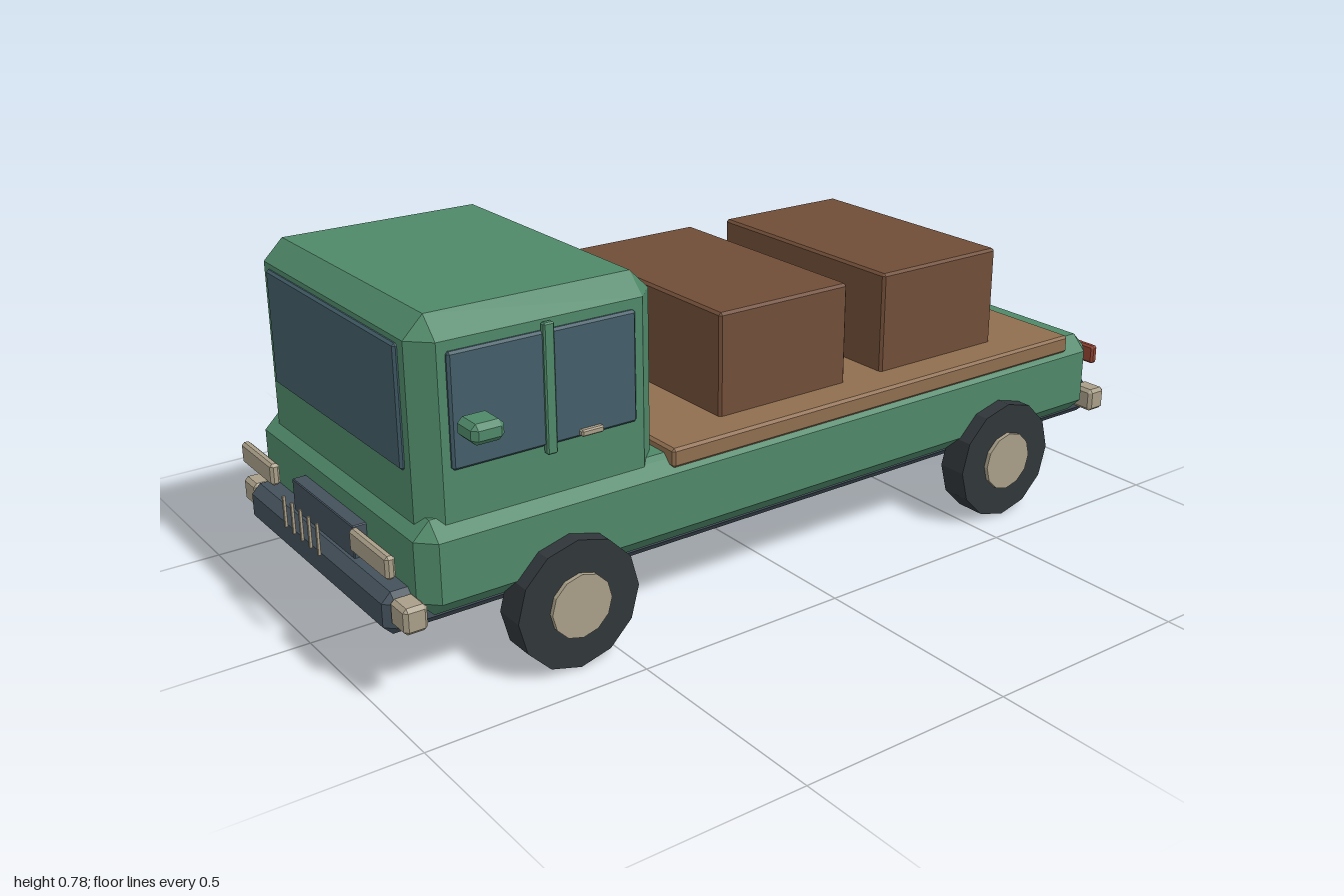
import * as THREE from 'three';
import { ConvexGeometry } from 'three/addons/geometries/ConvexGeometry.js';

const paint = (color) => new THREE.MeshStandardMaterial({ color, flatShading: true });
const green = paint(0x4f8869);
const steel = paint(0x44515c);
const rubber = paint(0x30363a);
const glass = paint(0x435d68);
const cream = paint(0xa89e88);
const timber = paint(0x8f6e4f);
const crateWood = paint(0x704d37);
const red = paint(0x934433);

// Box with all edges bevelled by c; ranges are [min, max]
function bevelBox(name, material, xr, yr, zr, c) {
  const size = [xr, yr, zr].map(([a, b]) => (b - a) / 2);
  const points = [];
  for (const sx of [-1, 1]) for (const sy of [-1, 1]) for (const sz of [-1, 1]) {
    for (let axis = 0; axis < 3; axis++) {
      const p = [sx, sy, sz].map((s, i) => s * (size[i] - (i === axis ? 0 : c)));
      points.push(new THREE.Vector3(...p));
    }
  }
  const mesh = new THREE.Mesh(new ConvexGeometry(points), material);
  mesh.name = name;
  mesh.position.set(...[xr, yr, zr].map(([a, b]) => (a + b) / 2));
  return mesh;
}

// Cylinder lying along x
function disc(name, material, radius, width, x) {
  const geometry = new THREE.CylinderGeometry(radius, radius, width, 12);
  geometry.rotateZ(Math.PI / 2);
  const mesh = new THREE.Mesh(geometry, material);
  mesh.name = name;
  mesh.position.x = x;
  return mesh;
}

function wheel(name, side, z) {
  const group = new THREE.Group();
  group.name = name;
  group.position.set(0, 0.142, z);
  group.add(disc('tyre', rubber, 0.142, 0.07, side * 0.38));
  group.add(disc('hub', cream, 0.07, 0.03, side * 0.41));
  return group;
}

export function createModel() {
  const truck = new THREE.Group();
  truck.name = 'flatbedTruck';
  const add = (...args) => truck.add(bevelBox(...args));
  // Range on the given side of x = 0
  const sideRange = (s, a, b) => (s > 0 ? [a, b] : [-b, -a]);

  // Chassis with bumpers, lower body and cab
  add('chassis', steel, [-0.33, 0.33], [0.148, 0.238], [-0.997, 0.977], 0.02);
  add('lowerBody', green, [-0.38, 0.38], [0.18, 0.38], [-0.937, 0.92], 0.036);
  add('cab', green, [-0.357, 0.357], [0.32, 0.775], [0.357, 0.9], 0.044);

  // Front and rear glass
  add('windscreen', glass, [-0.29, 0.29], [0.467, 0.72], [0.885, 0.908], 0.005);
  add('rearWindow', glass, [-0.26, 0.26], [0.467, 0.715], [0.347, 0.37], 0.005);

  // Flatbed and crates
  add('flatbed', timber, [-0.378, 0.378], [0.354, 0.397], [-0.84, 0.343], 0.006);
  add('frontCrate', crateWood, [-0.293, 0.293], [0.39, 0.63], [-0.194, 0.16], 0.006);
  add('rearCrate', crateWood, [-0.293, 0.293], [0.39, 0.63], [-0.657, -0.302], 0.006);

  // Grille plate and upright bars
  add('grille', steel, [-0.143, 0.143], [0.2, 0.308], [0.91, 0.95], 0.002);
  for (let i = -2; i <= 2; i++) {
    add('grilleBar', cream, [i * 0.04 - 0.003, i * 0.04 + 0.003], [0.234, 0.304], [0.993, 1], 0.001);
  }

  for (const s of [-1, 1]) {
    const label = s > 0 ? 'left' : 'right';
    // Door glass, divider, handle and mirror
    add(label + 'SideWindow', glass, sideRange(s, 0.345, 0.366), [0.475, 0.71], [0.422, 0.838], 0.005);
    add(label + 'WindowPillar', green, sideRange(s, 0.358, 0.373), [0.458, 0.727], [0.613, 0.637], 0.003);
    add(label + 'DoorHandle', cream, sideRange(s, 0.36, 0.377), [0.478, 0.492], [0.508, 0.56], 0.003);
    add(label + 'Mirror', green, sideRange(s, 0.37, 0.441), [0.546, 0.588], [0.763, 0.833], 0.011);

    // Lamps and bumper ends
    add(label + 'Headlight', cream, sideRange(s, 0.185, 0.345), [0.28, 0.329], [0.957, 0.978], 0.006);
    add(label + 'TailLight', red, sideRange(s, 0.19, 0.345), [0.283, 0.329], [-0.995, -0.976], 0.005);
    add(label + 'FrontBumperEnd', cream, sideRange(s, 0.32, 0.384), [0.175, 0.231], [0.915, 0.966], 0.008);
    add(label + 'RearBumperEnd', cream, sideRange(s, 0.32, 0.384), [0.175, 0.231], [-0.987, -0.936], 0.008);

    // Wheels
    truck.add(wheel(label + 'FrontWheel', s, 0.6));
    truck.add(wheel(label + 'RearWheel', s, -0.605));
  }
  return truck;
}
